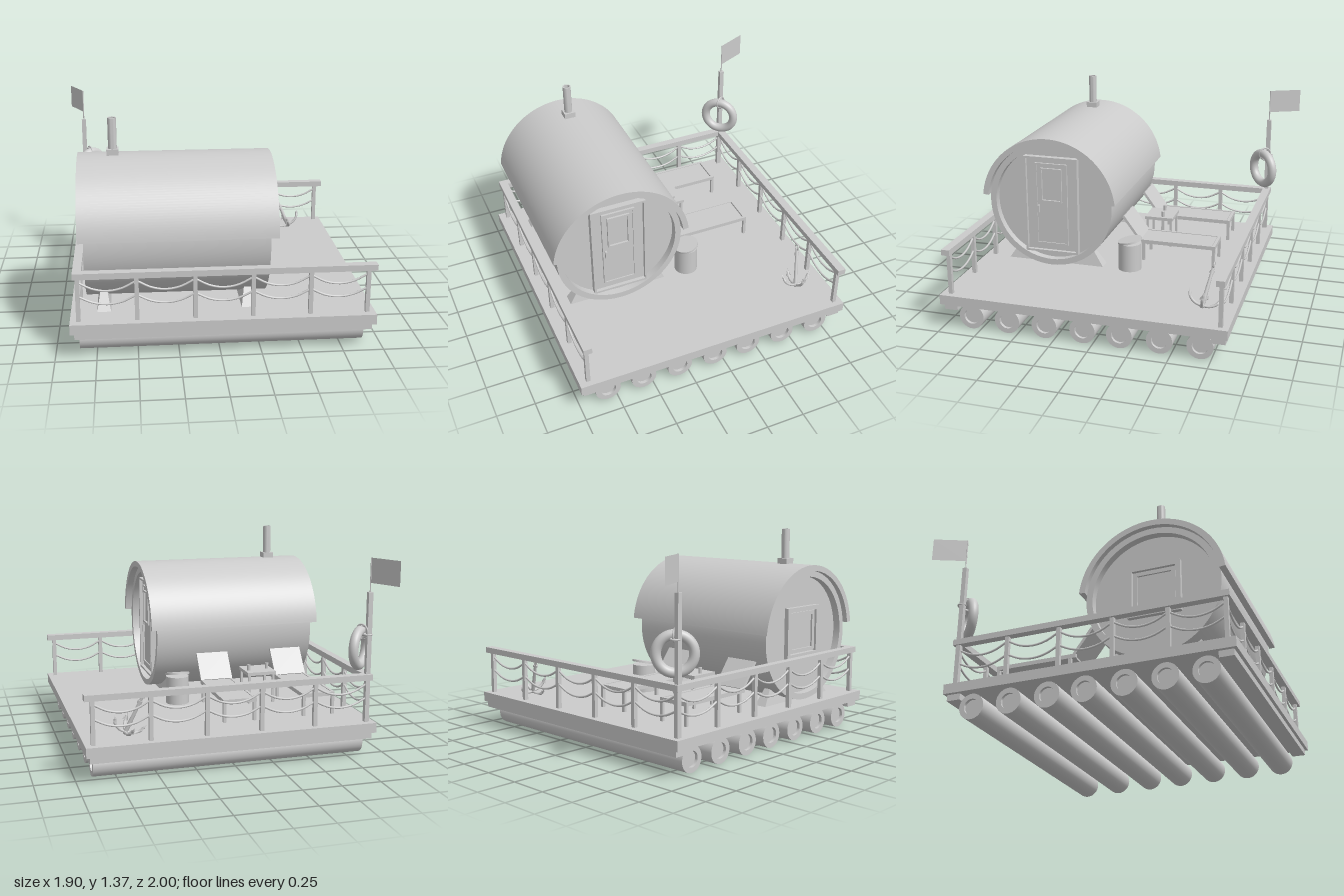
import * as THREE from 'three';
import { toCreasedNormals } from 'three/addons/utils/BufferGeometryUtils.js';

const grey = new THREE.MeshStandardMaterial({ color: 0xcccccc });
const thin = new THREE.MeshStandardMaterial({ color: 0xcccccc, side: THREE.DoubleSide });
const V = (x, y, z) => new THREE.Vector3(x, y, z);

function add(parent, name, geo, x = 0, y = 0, z = 0, mat = grey) {
  const m = new THREE.Mesh(geo, mat);
  m.name = name;
  m.position.set(x, y, z);
  parent.add(m);
  return m;
}

function group(parent, name, x = 0, y = 0, z = 0) {
  const g = new THREE.Group();
  g.name = name;
  g.position.set(x, y, z);
  parent.add(g);
  return g;
}

// box given by its minimum and maximum on each axis
function span(parent, name, x0, x1, y0, y1, z0, z1) {
  return add(parent, name, new THREE.BoxGeometry(x1 - x0, y1 - y0, z1 - z0),
    (x0 + x1) / 2, (y0 + y1) / 2, (z0 + z1) / 2);
}

// drum lying along x, with a recessed disc at both ends
function drum(half, r, inner, depth, segments) {
  const pts = [[0, depth - half], [inner, depth - half], [inner, -half], [r, -half],
    [r, half], [inner, half], [inner, half - depth], [0, half - depth]];
  const geo = new THREE.LatheGeometry(pts.map(p => new THREE.Vector2(...p)), segments);
  return toCreasedNormals(geo.rotateZ(-Math.PI / 2), 0.6);
}

// rectangular frame in the xy plane, extruded along z
function frame(w, h, border, depth) {
  const rect = (s, a, b) => s.moveTo(-a, -b).lineTo(a, -b).lineTo(a, b).lineTo(-a, b).closePath();
  const s = rect(new THREE.Shape(), w / 2, h / 2);
  s.holes.push(rect(new THREE.Path(), w / 2 - border, h / 2 - border));
  return new THREE.ExtrudeGeometry(s, { depth, bevelEnabled: false });
}

function tube(points, r, segments = 12) {
  return new THREE.TubeGeometry(new THREE.CatmullRomCurve3(points), segments, r, 8);
}

function buildRaft(root) {
  const raft = group(root, 'raft');
  span(raft, 'deck', -0.905, 0.948, 0.172, 0.236, -0.855, 1.0);
  for (const z of [0.935, -0.795]) span(raft, 'crossBeam', -0.88, 0.925, 0.132, 0.172, z - 0.045, z + 0.045);
  const log = drum(0.875, 0.083, 0.05, 0.02, 32);
  for (const z of [0.81, 0.567, 0.317, 0.066, -0.173, -0.427, -0.68]) add(raft, 'floatLog', log, 0.02, 0.085, z);
  // supports bridging the logs and the deck
  for (const z of [0.81, 0.567, 0.317, 0.066, -0.173, -0.427, -0.68]) {
    for (const x of [-0.5, 0.5]) span(raft, 'logBlock', x - 0.03, x + 0.03, 0.15, 0.175, z - 0.02, z + 0.02);
  }
}

function buildRailing(root) {
  const rail = group(root, 'railing');
  span(rail, 'frontRail', -0.88, 0.948, 0.51, 0.548, 0.914, 0.968);
  span(rail, 'backRail', -0.88, 0.948, 0.51, 0.548, -0.83, -0.776);
  span(rail, 'leftRail', -0.88, -0.828, 0.51, 0.548, -0.776, 0.914);
  const lines = [[V(-0.853, 0, 0.94), V(0.898, 0, 0.94)], [V(-0.853, 0, -0.803), V(0.898, 0, -0.803)],
    [V(-0.853, 0, 0.94), V(-0.853, 0, -0.803)]];
  for (const [a, b] of lines) {
    for (let i = 0; i <= 5; i++) {
      const p = a.clone().lerp(b, i / 5);
      add(rail, 'post', new THREE.BoxGeometry(0.026, 0.28, 0.026), p.x, 0.373, p.z);
      if (i === 5) continue;
      const q = a.clone().lerp(b, (i + 1) / 5);
      for (const [top, sag] of [[0.485, 0.06], [0.395, 0.055]]) {
        const pts = [0, 0.25, 0.5, 0.75, 1].map(t => p.clone().lerp(q, t).setY(top - sag * 4 * t * (1 - t)));
        add(rail, 'rope', tube(pts, 0.007));
      }
    }
  }
}

function buildCabin(root) {
  const cabin = group(root, 'cabin', -0.2525, 0.675, 0.48);
  add(cabin, 'barrelBody', drum(0.5575, 0.428, 0.388, 0.05, 64));
  // curved roof shell
  const a = 0.11, arc = new THREE.Shape();
  arc.absarc(0, 0, 0.466, a, Math.PI - a, false);
  arc.absarc(0, 0, 0.428, Math.PI - a, a, true);
  const roofGeo = new THREE.ExtrudeGeometry(arc, { depth: 1.195, bevelEnabled: false, curveSegments: 40 });
  add(cabin, 'roof', toCreasedNormals(roofGeo, 0.5).rotateY(Math.PI / 2), -0.5925, 0, 0);
  // door end
  const door = group(cabin, 'door', 0.5075, -0.01, 0);
  door.rotation.y = Math.PI / 2;
  add(door, 'doorFrame', frame(0.374, 0.67, 0.014, 0.04));
  add(door, 'doorBoard', new THREE.BoxGeometry(0.35, 0.645, 0.02), 0, 0, 0.006);
  add(door, 'doorTrim', frame(0.225, 0.57, 0.012, 0.024), 0, 0.005, 0.006);
  add(door, 'doorPanel', new THREE.BoxGeometry(0.205, 0.55, 0.02), 0, 0.005, 0.012);
  add(door, 'doorWindow', frame(0.15, 0.235, 0.012, 0.02), 0, 0.14, 0.016);
  add(door, 'doorHandle', new THREE.BoxGeometry(0.013, 0.05, 0.02), -0.092, -0.03, 0.032);
  // window end
  const win = group(cabin, 'rearWindow', -0.5075, 0.02, 0);
  win.rotation.y = -Math.PI / 2;
  add(win, 'windowFrame', frame(0.34, 0.34, 0.03, 0.03));
  add(win, 'windowSash', frame(0.27, 0.27, 0.025, 0.018));
  add(win, 'windowPane', new THREE.BoxGeometry(0.23, 0.23, 0.012));
  // chimney
  add(cabin, 'chimneyBase', new THREE.BoxGeometry(0.075, 0.06, 0.075), -0.375, 0.472, 0);
  const pipe = [[0.027, 0.47], [0.027, 0.695], [0.02, 0.695], [0.02, 0.5], [0, 0.5]];
  add(cabin, 'chimneyPipe', toCreasedNormals(new THREE.LatheGeometry(pipe.map(p => new THREE.Vector2(...p)), 24), 0.6), -0.375, 0, 0);
  // tapered cradles under the barrel
  const cradle = new THREE.BoxGeometry(0.085, 0.11, 0.68), p = cradle.attributes.position;
  for (let i = 0; i < p.count; i++) if (p.getY(i) > 0) p.setXYZ(i, p.getX(i) * 0.5, p.getY(i), p.getZ(i) * 0.78);
  cradle.computeVertexNormals();
  for (const x of [-0.702, 0.185]) add(cabin, 'cradle', cradle, x + 0.2525, -0.386, 0);
}

function buildFurniture(root) {
  for (const x of [-0.617, -0.081]) {
    const chair = group(root, 'lounger', x, 0, 0);
    span(chair, 'seat', -0.095, 0.095, 0.365, 0.382, -0.565, -0.06);
    for (const s of [-1, 1]) {
      add(chair, 'sideRail', new THREE.BoxGeometry(0.018, 0.026, 0.54), s * 0.102, 0.373, -0.32);
      for (const z of [-0.58, -0.09]) add(chair, 'leg', new THREE.BoxGeometry(0.02, 0.14, 0.02), s * 0.1, 0.302, z);
    }
    add(chair, 'footBar', new THREE.BoxGeometry(0.222, 0.026, 0.02), 0, 0.373, -0.58);
    const back = add(chair, 'backrest', new THREE.BoxGeometry(0.222, 0.2, 0.018), 0, 0.462, -0.005);
    back.rotation.x = 0.64;
  }
  // side table with two cups
  const table = group(root, 'table', -0.355, 0, -0.125);
  add(table, 'tableTop', new THREE.BoxGeometry(0.2, 0.022, 0.2), 0, 0.442, 0);
  for (const x of [-0.085, 0.085]) for (const z of [-0.085, 0.085]) {
    add(table, 'tableLeg', new THREE.BoxGeometry(0.016, 0.2, 0.016), x, 0.335, z);
  }
  for (const [x, z] of [[-0.065, -0.005], [0.07, -0.025]]) {
    add(table, 'cup', new THREE.CylinderGeometry(0.012, 0.011, 0.04, 16), x, 0.472, z);
  }
  // water tub with a loose lid
  const tub = group(root, 'tub', 0.19, 0, -0.04);
  add(tub, 'tubBody', new THREE.CylinderGeometry(0.078, 0.078, 0.187, 32), 0, 0.329, 0);
  add(tub, 'tubLid', new THREE.CylinderGeometry(0.082, 0.082, 0.014, 32), 0, 0.437, 0).rotation.x = 0.22;
}

function buildFlagPost(root) {
  const post = group(root, 'flagPost', -0.855, 0, -0.798);
  span(post, 'mast', -0.015, 0.015, 0.236, 1.07, -0.015, 0.015);
  add(post, 'flagPole', new THREE.CylinderGeometry(0.004, 0.004, 0.225, 8), 0, 1.172, 0);
  const flag = add(post, 'flag', new THREE.PlaneGeometry(0.225, 0.157), -0.048, 1.206, -0.101, thin);
  flag.rotation.y = Math.atan2(-0.202, 0.096) + Math.PI;
  // life ring hanging on the inner corner of the mast
  const ring = group(post, 'lifeRing', 0.047, 0.714, 0.025);
  ring.rotation.y = Math.PI / 4;
  add(ring, 'ringBody', new THREE.TorusGeometry(0.111, 0.031, 20, 48));
  add(ring, 'hangingRope', new THREE.TorusGeometry(0.042, 0.006, 8, 24), 0, 0.108, -0.012).rotation.y = Math.PI / 2 - 0.3;
  add(ring, 'hangingRope', new THREE.TorusGeometry(0.04, 0.006, 8, 24), 0, 0.1, -0.016).rotation.y = Math.PI / 2 + 0.3;
  add(ring, 'mastRope', new THREE.TorusGeometry(0.026, 0.006, 8, 24), 0, 0.09, -0.05).rotation.x = Math.PI / 2;
}

function buildAnchor(root) {
  const anchor = group(root, 'anchor', 0.672, 0.25, -0.643);
  anchor.rotation.set(-0.2, 0, 0.4);
  add(anchor, 'shank', new THREE.CylinderGeometry(0.009, 0.014, 0.25, 10), 0, 0.125, 0);
  add(anchor, 'crown', new THREE.SphereGeometry(0.017, 12, 8));
  add(anchor, 'ring', new THREE.TorusGeometry(0.018, 0.005, 8, 20), 0, 0.262, 0);
  add(anchor, 'collar', new THREE.CylinderGeometry(0.015, 0.015, 0.02, 10), 0, 0.215, 0);
  for (let i = 0; i < 4; i++) {
    const arm = group(anchor, 'arm');
    arm.rotation.y = i * Math.PI / 2;
    add(arm, 'armCurve', tube([V(0, 0, 0), V(0.045, 0.006, 0), V(0.082, 0.03, 0), V(0.1, 0.065, 0)], 0.009));
    const fluke = add(arm, 'fluke', new THREE.ConeGeometry(0.02, 0.05, 4), 0.1, 0.062, 0);
    fluke.scale.x = 0.5;
    fluke.rotation.z = -0.4;
  }
}

export function createModel() {
  const root = new THREE.Group();
  root.name = 'saunaRaft';
  for (const build of [buildRaft, buildRailing, buildCabin, buildFurniture, buildFlagPost, buildAnchor]) build(root);
  return root;
}
